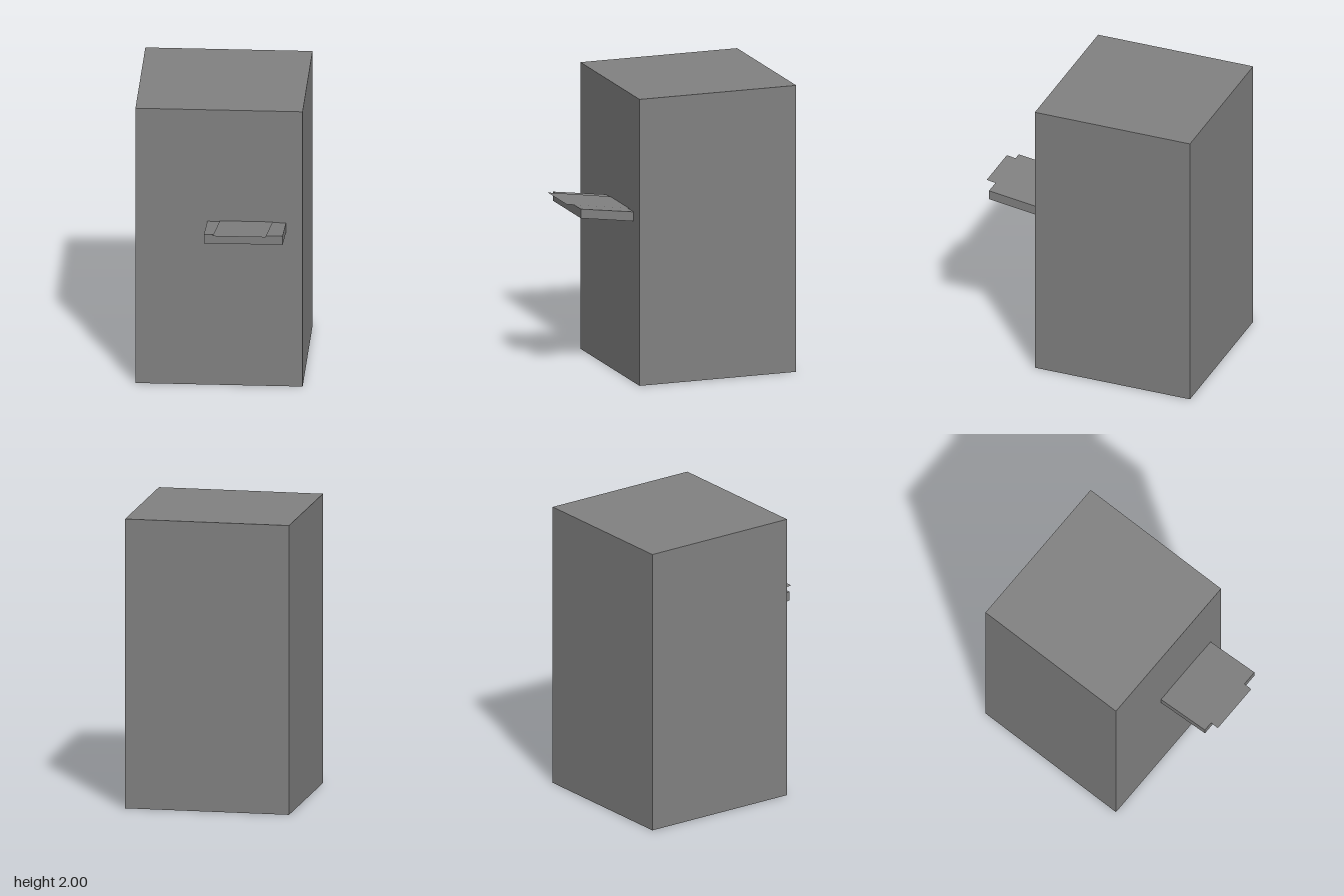
import * as THREE from 'three';

export function createModel() {
  const group = new THREE.Group();
  const grey = new THREE.MeshStandardMaterial({ color: 0x808080 });
  grey.name = 'grey';
  const sheetGrey = grey.clone();
  sheetGrey.name = 'sheet grey';
  sheetGrey.side = THREE.DoubleSide;

  const add = (name, geometry, material = grey) => {
    const mesh = new THREE.Mesh(geometry, material);
    mesh.name = name;
    group.add(mesh);
  };

  // Plain upright cabinet
  add('cabinet', new THREE.BoxGeometry(1.136, 2, 1.136).translate(0, 1, -0.222));

  // Sloping tray with upright ends: side profile (z, y) swept across x
  const profile = new THREE.Shape([
    [0.34, 1.123], [0.728, 1.177], [0.728, 1.241], [0.34, 1.188],
  ].map(([z, y]) => new THREE.Vector2(z, y)));
  const tray = new THREE.ExtrudeGeometry(profile, { depth: 0.535, bevelEnabled: false });
  add('tray', tray.rotateY(-Math.PI / 2).translate(0.455, 0, 0));

  // Thin sheet lying slightly askew on the tray and overhanging its front
  const sheet = new THREE.BufferGeometry();
  sheet.setAttribute('position', new THREE.Float32BufferAttribute([
    -0.018, 1.254, 0.79, 0.343, 1.254, 0.79,
    0.367, 1.193, 0.34, 0.006, 1.193, 0.34,
  ], 3));
  sheet.setIndex([0, 1, 2, 0, 2, 3]);
  sheet.computeVertexNormals();
  add('sheet', sheet, sheetGrey);

  return group;
}
